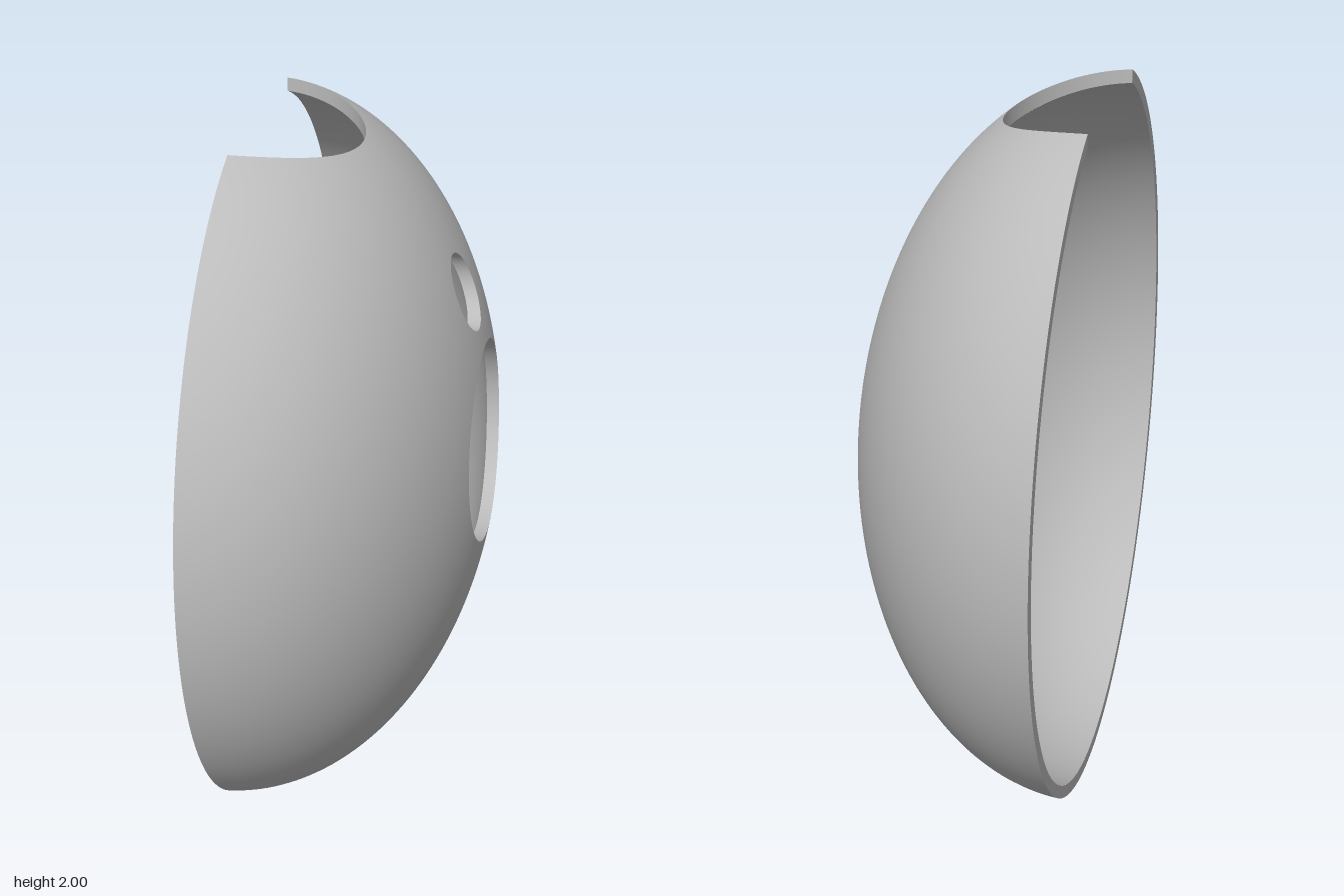
import * as THREE from 'three';

const CUT = -0.32, X0 = -0.36, Y0 = 1.03, WALL = 0.035;
const NOTCH = 0.32;                                   // radius of the vertical top notch
const HOLES = [{ name: 'largeHole', y: 1.095, r: 0.285 }, { name: 'smallHole', y: 1.54, r: 0.103 }];

// Half ellipsoid whose axis is x, sliced by the plane x = CUT
function ellipsoid(inset) {
  const a = 0.696, s = Math.sqrt(1 - ((CUT - X0) / a) ** 2);
  const A = a - inset, B = 1.03 / s - inset, C = 0.947 / s - inset;
  return {
    maxTheta: Math.acos((CUT - X0) / A),
    at: (t, p) => new THREE.Vector3(
      X0 + A * Math.cos(t), Y0 + B * Math.sin(t) * Math.cos(p), C * Math.sin(t) * Math.sin(p)),
    normal: (v) => new THREE.Vector3((v.x - X0) / A ** 2, (v.y - Y0) / B ** 2, v.z / C ** 2).normalize(),
    xAt: (y, z) => X0 + A * Math.sqrt(Math.max(0, 1 - ((y - Y0) / B) ** 2 - (z / C) ** 2)),
    yAt: (x, z) => Y0 + B * Math.sqrt(Math.max(0, 1 - ((x - X0) / A) ** 2 - (z / C) ** 2)),
    // azimuth at which the rim meets the notch
    notchPhi() {
      const z = Math.sqrt(NOTCH ** 2 - (CUT - X0) ** 2);
      return Math.asin(z / (C * Math.sin(this.maxTheta)));
    },
  };
}

// Positive where material remains
const cutters = [
  ...HOLES.map((h) => (v) => Math.hypot(v.y - h.y, v.z) - h.r),
  (v) => (v.y < Y0 ? 1 : Math.hypot(v.x - X0, v.z) - NOTCH),
];

// Collects triangles and turns each one to agree with its normals
function builder() {
  const pos = [], nor = [];
  const tri = (p, n) => {
    const face = p[1].clone().sub(p[0]).cross(p[2].clone().sub(p[0]));
    if (face.lengthSq() < 1e-16) return;
    const order = face.dot(n[0]) < 0 ? [0, 2, 1] : [0, 1, 2];
    for (const i of order) { pos.push(...p[i].toArray()); nor.push(...n[i].toArray()); }
  };
  const mesh = (name, material) => {
    const g = new THREE.BufferGeometry();
    g.setAttribute('position', new THREE.Float32BufferAttribute(pos, 3));
    g.setAttribute('normal', new THREE.Float32BufferAttribute(nor, 3));
    const m = new THREE.Mesh(g, material);
    m.name = name;
    return m;
  };
  return { tri, mesh };
}

// Trims a small polygon of [theta, phi] points with one cutter
function clip(poly, f, e) {
  const out = [];
  const value = (q) => f(e.at(q[0], q[1]));
  poly.forEach((p, i) => {
    const q = poly[(i + 1) % poly.length];
    const fp = value(p), fq = value(q);
    if (fp >= 0) out.push(p);
    if ((fp >= 0) !== (fq >= 0)) {
      let lo = 0, hi = 1, mid;
      const mix = (k) => [p[0] + (q[0] - p[0]) * k, p[1] + (q[1] - p[1]) * k];
      for (let k = 0; k < 24; k++) {
        mid = (lo + hi) / 2;
        if ((value(mix(mid)) >= 0) === (fp >= 0)) lo = mid; else hi = mid;
      }
      out.push(mix(mid));
    }
  });
  return out;
}

// Curved skin with the holes and notch trimmed away
function skin(name, e, side, material) {
  const b = builder(), NT = 48, NP = 160, t0 = 0.14;
  const theta = (i) => t0 + (e.maxTheta - t0) * i / NT;
  const phi = (j) => j / NP * Math.PI * 2;
  for (let i = 0; i < NT; i++) for (let j = 0; j < NP; j++) {
    const c = [[theta(i), phi(j)], [theta(i + 1), phi(j)], [theta(i + 1), phi(j + 1)], [theta(i), phi(j + 1)]];
    for (const start of [[c[0], c[1], c[2]], [c[0], c[2], c[3]]]) {
      let poly = start;
      for (const f of cutters) poly = clip(poly, f, e);
      const p = poly.map((q) => e.at(q[0], q[1]));
      const n = p.map((v) => e.normal(v).multiplyScalar(side));
      for (let k = 1; k + 1 < p.length; k++) b.tri([p[0], p[k], p[k + 1]], [n[0], n[k], n[k + 1]]);
    }
  }
  return b.mesh(name, material);
}

// Strip between two edges; at(k) gives [outer point, inner point, normal]
function strip(name, segments, at, material) {
  const b = builder();
  for (let i = 0; i < segments; i++) {
    const [p, q, n] = at(i / segments), [r, s, m] = at((i + 1) / segments);
    b.tri([p, q, r], [n, n, m]);
    b.tri([r, q, s], [m, n, m]);
  }
  return b.mesh(name, material);
}

export function createModel() {
  const group = new THREE.Group();
  group.name = 'domeShell';
  const grey = new THREE.MeshStandardMaterial({ color: 0xbbbbbb });
  grey.name = 'grey';
  const outer = ellipsoid(0), inner = ellipsoid(WALL);
  const V = (x, y, z) => new THREE.Vector3(x, y, z);

  group.add(skin('outerSkin', outer, 1, grey), skin('innerSkin', inner, -1, grey));

  // Walls of the two round holes
  for (const h of HOLES) {
    group.add(strip(h.name + 'Wall', 128, (k) => {
      const c = Math.cos(k * Math.PI * 2), s = Math.sin(k * Math.PI * 2);
      const y = h.y + h.r * c, z = h.r * s;
      return [V(outer.xAt(y, z), y, z), V(inner.xAt(y, z), y, z), V(0, -c, -s)];
    }, grey));
  }

  // Wall of the top notch
  const end = Math.acos((CUT - X0) / NOTCH);
  group.add(strip('notchWall', 64, (k) => {
    const w = end * (2 * k - 1), c = Math.cos(w), s = Math.sin(w);
    const x = X0 + NOTCH * c, z = NOTCH * s;
    return [V(x, outer.yAt(x, z), z), V(x, inner.yAt(x, z), z), V(-c, 0, -s)];
  }, grey));

  // Flat rim, running from one side of the notch round to the other
  const rimPoint = (e, k) => {
    const start = e.notchPhi();
    return e.at(e.maxTheta, start + (Math.PI * 2 - 2 * start) * k);
  };
  group.add(strip('rim', 160, (k) => [rimPoint(outer, k), rimPoint(inner, k), V(-1, 0, 0)], grey));
  return group;
}
